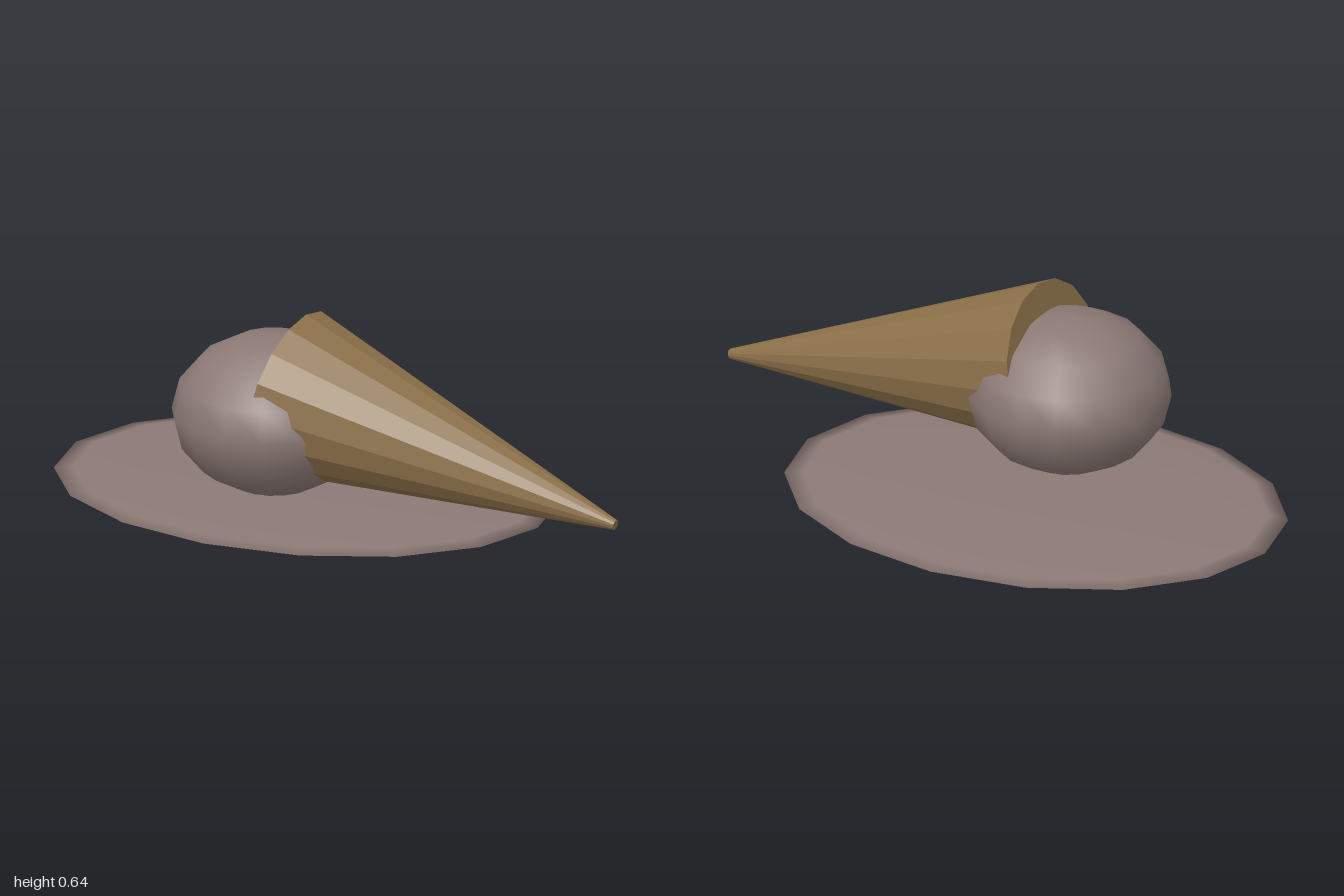
import * as THREE from 'three';

const stone = new THREE.MeshStandardMaterial({ color: 0x8b7975 });
stone.name = 'greyish mauve';
const tan = new THREE.MeshStandardMaterial({ color: 0x8b7049, flatShading: true });
tan.name = 'tan brown';

// Smooth low-poly ellipsoid with the given half sizes
function ellipsoid(name, radii, position) {
  const geometry = new THREE.SphereGeometry(1, 16, 8);
  geometry.scale(...radii);
  const mesh = new THREE.Mesh(geometry, stone);
  mesh.name = name;
  mesh.position.set(...position);
  return mesh;
}

// Faceted closed cone running between two points
function taper(name, start, end, startRadius, endRadius) {
  const axis = end.clone().sub(start);
  const geometry = new THREE.CylinderGeometry(endRadius, startRadius, axis.length(), 16);
  const mesh = new THREE.Mesh(geometry, tan);
  mesh.name = name;
  mesh.position.copy(start).add(end).multiplyScalar(0.5);
  mesh.quaternion.setFromUnitVectors(new THREE.Vector3(0, 1, 0), axis.normalize());
  return mesh;
}

export function createModel() {
  const group = new THREE.Group();
  group.name = 'spilledCone';

  // Thin oval puddle on the ground
  group.add(ellipsoid('puddle', [0.81, 0.026, 0.632], [-0.19, 0.026, 0]));

  // Slightly flattened scoop
  group.add(ellipsoid('scoop', [0.315, 0.249, 0.315], [-0.2, 0.314, 0.18]));

  // Cone lying on its side, wide end over the scoop
  group.add(taper('cone',
    new THREE.Vector3(-0.143, 0.39, 0.178),
    new THREE.Vector3(0.996, 0.153, 0.178), 0.26, 0.016));

  return group;
}
